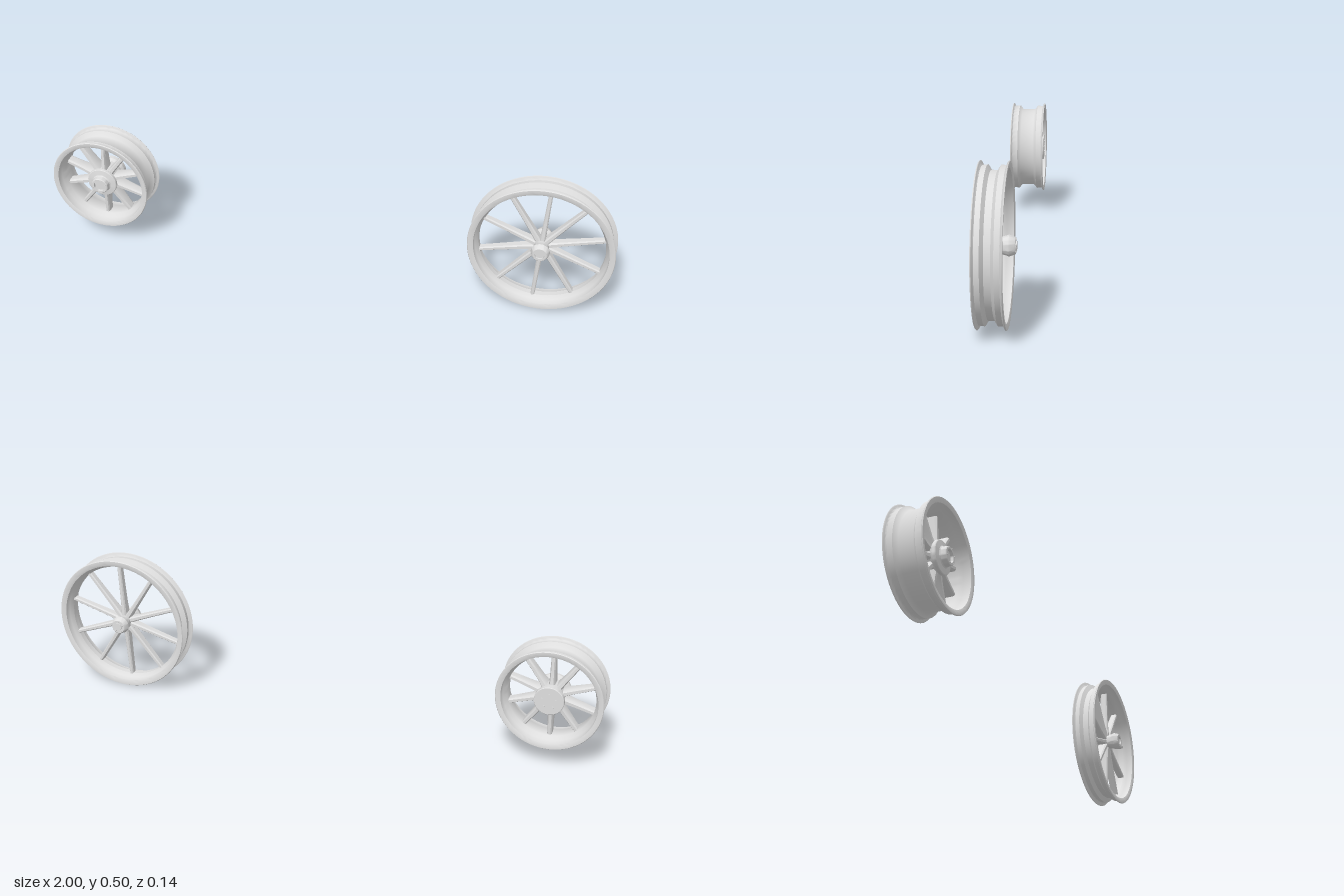
import * as THREE from 'three';
import { toCreasedNormals } from 'three/addons/utils/BufferGeometryUtils.js';

const metal = new THREE.MeshStandardMaterial({ color: 0xdedede });
metal.name = 'light grey metal';

function add(parent, name, geometry) {
  const mesh = new THREE.Mesh(geometry, metal);
  mesh.name = name;
  parent.add(mesh);
  return mesh;
}

// Revolve [radius, z] points around the z axis
function turned(points, segments, crease) {
  const g = new THREE.LatheGeometry(points.map(([r, z]) => new THREE.Vector2(r, z)), segments);
  g.rotateX(Math.PI / 2);
  return toCreasedNormals(g, crease);
}

// Closed rim section: flange lips, bead seats, drop centre and inner wall
function rimGeometry({ r, w, bead, drop, inner, seat, well }) {
  const half = [
    [drop, well], [bead + 0.002, seat], [bead, w - 0.009], [bead + 0.003, w - 0.006],
    [r - 0.003, w - 0.0055], [r, w - 0.003], [r - 0.002, w], [bead, w],
    [bead - 0.007, w - 0.003], [bead - 0.009, seat], [inner, well],
  ];
  const back = half.map(([a, z]) => [a, -z]).reverse();
  // outer back, outer front, inner front, inner back
  const outerBack = back.slice(5), innerBack = back.slice(0, 5);
  return turned([...outerBack, ...half, ...innerBack, back[5]], 96, 0.9);
}

// Spoke along +y: chamfered section, tapering from hub to rim
function spokeGeometry({ from, to, wide, deep, tipWide, tipDeep }) {
  const s = new THREE.Shape([
    [-0.5, -0.34], [-0.28, -0.5], [0.28, -0.5], [0.5, -0.34],
    [0.5, 0.34], [0.28, 0.5], [-0.28, 0.5], [-0.5, 0.34],
  ].map(([x, y]) => new THREE.Vector2(x, y)));
  const g = new THREE.ExtrudeGeometry(s, { depth: 1, steps: 4, bevelEnabled: false });
  g.rotateX(-Math.PI / 2);
  const p = g.attributes.position;
  for (let i = 0; i < p.count; i++) {
    const t = THREE.MathUtils.clamp(p.getY(i), 0, 1), k = Math.sqrt(t);
    p.setXYZ(i,
      p.getX(i) * THREE.MathUtils.lerp(wide, tipWide, k),
      THREE.MathUtils.lerp(from, to, t),
      p.getZ(i) * THREE.MathUtils.lerp(deep, tipDeep, k));
  }
  return toCreasedNormals(g, 0.5);
}

function addBolts(parent, count, radius, z, size) {
  const g = new THREE.CylinderGeometry(size, size, 0.004, 6);
  g.rotateX(Math.PI / 2);
  const bolt = toCreasedNormals(g, 0.5);
  for (let i = 0; i < count; i++) {
    const a = (i / count) * Math.PI * 2 + 0.3;
    add(parent, 'hubBolt', bolt).position.set(Math.cos(a) * radius, Math.sin(a) * radius, z);
  }
}

function makeWheel(name, x, y, spec) {
  const wheel = new THREE.Group();
  wheel.name = name;
  wheel.position.set(x, y, -0.0015);
  add(wheel, 'rim', rimGeometry(spec.rim));
  add(wheel, 'hub', turned(spec.hub, 48, 0.5));
  const spoke = spokeGeometry(spec.spoke);
  for (let i = 0; i < 10; i++) {
    add(wheel, 'spoke', spoke).rotation.z = i * Math.PI / 5 + spec.turn;
  }
  return wheel;
}

export function createModel() {
  const model = new THREE.Group();
  model.name = 'wheelPair';

  // Tall narrow wheel
  const tallWheel = makeWheel('tallWheel', 0.752, 0.248, {
    rim: { r: 0.248, w: 0.045, bead: 0.234, drop: 0.22, inner: 0.213, seat: 0.02, well: 0.01 },
    hub: [
      [0, -0.068], [0.014, -0.068], [0.014, -0.065], [0.024, -0.065], [0.026, -0.063],
      [0.032, -0.045], [0.029, -0.036], [0.026, -0.024], [0.026, 0.024], [0.029, 0.036],
      [0.032, 0.045], [0.026, 0.062], [0.024, 0.064], [0.016, 0.064], [0.016, 0.058], [0, 0.058],
    ],
    spoke: { from: 0.02, to: 0.216, wide: 0.02, deep: 0.038, tipWide: 0.014, tipDeep: 0.024 },
    turn: -0.05,
  });
  addBolts(tallWheel, 5, 0.019, -0.066, 0.0025);

  // Short wide wheel
  const shortWheel = makeWheel('shortWheel', -0.8215, 0.2455, {
    rim: { r: 0.1785, w: 0.0645, bead: 0.167, drop: 0.154, inner: 0.147, seat: 0.036, well: 0.024 },
    hub: [
      [0, -0.062], [0.048, -0.062], [0.05, -0.06], [0.05, -0.045], [0.044, -0.035],
      [0.042, 0.02], [0.052, 0.03], [0.054, 0.033], [0.054, 0.042], [0.052, 0.044],
      [0.034, 0.047], [0.031, 0.05], [0.03, 0.066], [0.028, 0.068], [0.021, 0.068],
      [0.021, 0.058], [0, 0.058],
    ],
    spoke: { from: 0.035, to: 0.151, wide: 0.021, deep: 0.058, tipWide: 0.015, tipDeep: 0.036 },
    turn: -0.03,
  });
  addBolts(shortWheel, 6, 0.025, 0.069, 0.002);
  addBolts(shortWheel, 5, 0.024, -0.063, 0.003);

  model.add(tallWheel, shortWheel);
  return model;
}
